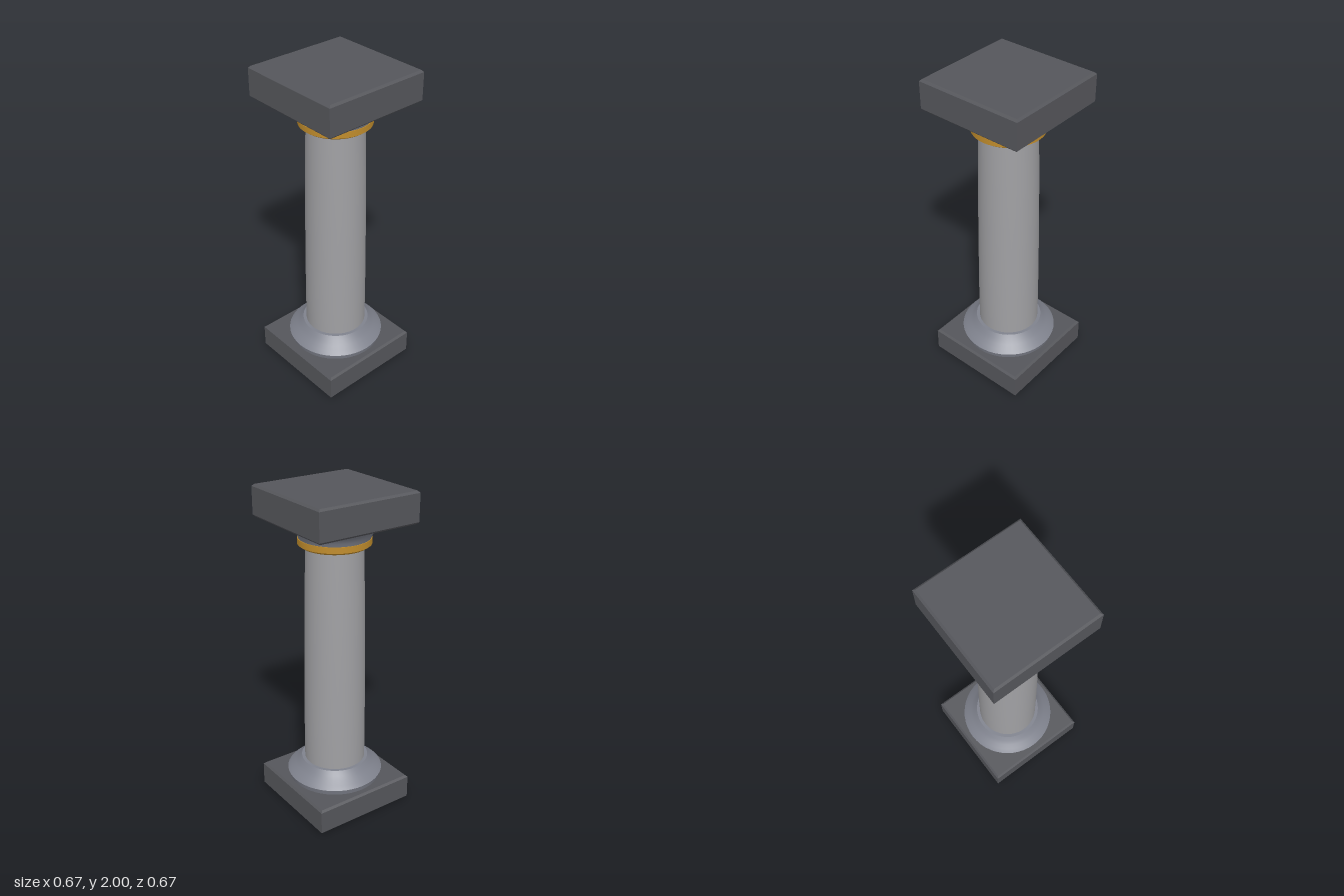
import * as THREE from 'three';
import { toCreasedNormals } from 'three/addons/utils/BufferGeometryUtils.js';

const material = (name, color) => {
  const m = new THREE.MeshStandardMaterial({ color });
  m.name = name;
  return m;
};

// Square slab with a small chamfer on every edge
function slab(name, half, y0, y1, mat) {
  const c = 0.012, s = half - c;
  const square = new THREE.Shape([
    new THREE.Vector2(-s, -s), new THREE.Vector2(s, -s),
    new THREE.Vector2(s, s), new THREE.Vector2(-s, s),
  ]);
  const geo = new THREE.ExtrudeGeometry(square, {
    depth: y1 - y0 - 2 * c, bevelEnabled: true, bevelSize: c, bevelThickness: c, bevelSegments: 1,
  });
  geo.rotateX(-Math.PI / 2).translate(0, y0 + c, 0);
  const mesh = new THREE.Mesh(geo, mat);
  mesh.name = name;
  return mesh;
}

// Turned part from [radius, height] points, listed bottom to top
function turned(name, points, mat) {
  const geo = new THREE.LatheGeometry(points.map(([r, y]) => new THREE.Vector2(r, y)), 48);
  const mesh = new THREE.Mesh(toCreasedNormals(geo, 0.5), mat);
  mesh.name = name;
  return mesh;
}

export function createModel() {
  const darkStone = material('dark stone', 0x55565b);
  const shaftStone = material('shaft stone', 0xa0a0a3);
  const trimStone = material('trim stone', 0x7f828d);
  const gold = material('gold', 0xc08c2c);

  const column = new THREE.Group();
  column.name = 'column';

  // Square blocks at the foot and the head
  column.add(slab('plinth', 0.333, 0, 0.167, darkStone));
  column.add(slab('abacus', 0.333, 1.813, 2, darkStone));

  // Flared base moulding
  column.add(turned('baseMoulding', [
    [0.15, 0.167], [0.288, 0.167], [0.298, 0.2], [0.275, 0.221],
    [0.25, 0.24], [0.228, 0.262], [0.208, 0.287], [0.15, 0.287],
  ], trimStone));

  // Shaft with a slight swelling as it tapers
  column.add(turned('shaft', [
    [0.188, 0.28], [0.188, 0.5], [0.185, 0.8], [0.181, 1.1], [0.175, 1.4], [0.167, 1.69],
  ], shaftStone));

  // Gold neck ring
  column.add(turned('neckRing', [
    [0.15, 1.674], [0.195, 1.674], [0.213, 1.687], [0.213, 1.723], [0.15, 1.723],
  ], gold));

  // Flared capital
  column.add(turned('capital', [
    [0.208, 1.72], [0.216, 1.743], [0.232, 1.769], [0.258, 1.79], [0.293, 1.813], [0.15, 1.813],
  ], trimStone));

  return column;
}
